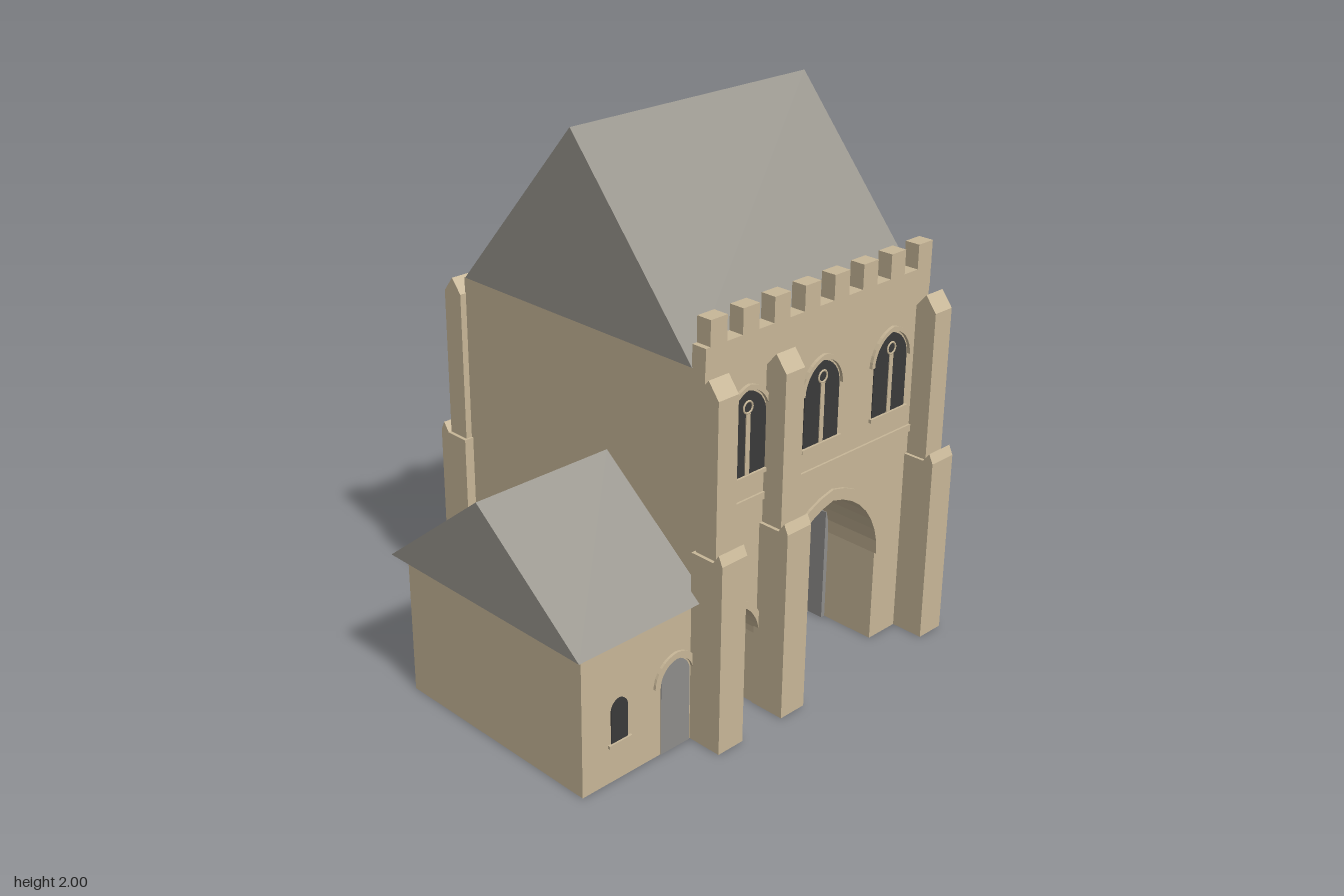
import * as THREE from 'three';

const flat = (name, color) => {
  const m = new THREE.MeshStandardMaterial({ color });
  m.name = name;
  return m;
};

export function createModel() {
  const stone = flat('stone', 0xc8b798);
  const slate = flat('slate', 0x98958d);
  const glass = flat('darkGlass', 0x3a3a3a);
  const wood = flat('greyDoor', 0x8e8d8b);

  const model = new THREE.Group();
  model.name = 'gatehouse';
  const FRONT = 0.6, BACK = -0.595;

  const add = (name, geometry, material, parent = model) => {
    const mesh = new THREE.Mesh(geometry, material);
    mesh.name = name;
    parent.add(mesh);
    return mesh;
  };
  const toShape = (pts) => new THREE.Shape(pts.map(([x, y]) => new THREE.Vector2(x, y)));

  // Outline in x,y pushed from z0 to z1
  const slab = (pts, z0, z1) =>
    new THREE.ExtrudeGeometry(toShape(pts), { depth: z1 - z0, bevelEnabled: false }).translate(0, 0, z0);
  // Outline in z,y pushed from x0 to x1
  const prism = (pts, x0, x1) =>
    new THREE.ExtrudeGeometry(toShape(pts), { depth: x1 - x0, bevelEnabled: false })
      .rotateY(-Math.PI / 2).translate(x1, 0, 0);
  const block = (x0, x1, y0, y1, z0, z1) =>
    new THREE.BoxGeometry(x1 - x0, y1 - y0, z1 - z0)
      .translate((x0 + x1) / 2, (y0 + y1) / 2, (z0 + z1) / 2);

  // Two-centred arch from left springing to right springing
  const arch = (cx, spring, w, h, n = 8) => {
    const r = (w * w + h * h) / (2 * w);
    const end = Math.acos((r - w) / r);
    const half = [];
    for (let i = 0; i <= n; i++) {
      const a = (end * i) / n;
      half.push([w - r + r * Math.cos(a), spring + r * Math.sin(a)]);
    }
    const left = half.map(([x, y]) => [cx - x, y]);
    const right = half.slice(0, -1).reverse().map(([x, y]) => [cx + x, y]);
    return [...left, ...right];
  };
  const opening = (cx, base, spring, w, h) =>
    [[cx - w, base], ...arch(cx, spring, w, h), [cx + w, base]];
  const hoodOutline = (cx, spring, w, h, t) =>
    [...arch(cx, spring, w + t, h + t), ...arch(cx, spring, w, h).reverse()];

  // Main block with both passages running through
  add('mainWalls', slab([
    [-0.3, 0], ...opening(-0.13, 0, 0.28, 0.105, 0.155),
    ...opening(0.34, 0, 0.36, 0.26, 0.31),
    [0.82, 0], [0.82, 1.34], [-0.3, 1.34],
  ], BACK, FRONT), stone);
  add('mainRoof', prism([[-0.588, 1.34], [0.545, 1.34], [-0.015, 2]], -0.302, 0.822), slate);

  // Open door leaves inside the large passage
  for (const [name, x] of [['rightDoorLeaf', 0.08], ['leftDoorLeaf', 0.582]])
    add(name, block(x, x + 0.018, 0, 0.45, 0.08, 0.38), wood);

  // Crenellated parapet along the front
  const parapet = new THREE.Group();
  parapet.name = 'parapet';
  model.add(parapet);
  add('parapetWall', block(-0.3, 0.82, 1.34, 1.42, 0.543, 0.602), stone, parapet);
  for (let i = 0; i < 8; i++) {
    const x = -0.28 + i * 0.1465;
    add('merlon', block(x, x + 0.075, 1.42, 1.51, 0.543, 0.602), stone, parapet);
  }

  // Details shared by the front and back faces
  for (const side of [1, -1]) {
    const face = new THREE.Group();
    face.name = side > 0 ? 'frontFace' : 'backFace';
    model.add(face);
    const wall = side > 0 ? FRONT : BACK;
    // Depth range measured outward from the wall
    const out = (d0, d1) => (side > 0 ? [wall + d0, wall + d1] : [wall - d1, wall - d0]);

    // Stepped buttresses with gabled caps
    for (const x of [-0.28, 0.03, 0.8]) {
      const outline = (pts) => pts.map(([d, y]) => [wall + side * d, y]);
      add('lowerButtress', prism(outline([
        [-0.012, 0], [0.127, 0], [0.127, 0.715], [0.11, 0.75], [0.085, 0.715], [-0.012, 0.715],
      ]), x - 0.058, x + 0.058), stone, face);
      add('upperButtress', prism(outline([
        [-0.004, 0.71], [0.085, 0.71], [0.085, 1.275], [0.04, 1.333], [-0.004, 1.28],
      ]), x - 0.045, x + 0.045), stone, face);
    }

    // String course in two thin steps
    add('stringCourse', block(-0.3, 0.82, 0.803, 0.83, ...out(-0.005, 0.008)), stone, face);

    // Mouldings over the passages
    add('largeArchMoulding', slab(hoodOutline(0.34, 0.36, 0.26, 0.31, 0.043), ...out(-0.005, 0.01)), stone, face);
    add('smallArchMoulding', slab(hoodOutline(-0.13, 0.28, 0.105, 0.155, 0.025), ...out(-0.005, 0.01)), stone, face);

    // Upper windows with mullion, ring, hood and sill
    for (const x of [-0.102, 0.263, 0.624]) {
      const win = new THREE.Group();
      win.name = 'upperWindow';
      face.add(win);
      add('pane', slab(opening(x, 0.92, 1.115, 0.088, 0.105), ...out(-0.003, 0.003)), glass, win);
      add('hood', slab(hoodOutline(x, 1.115, 0.095, 0.113, 0.016), ...out(-0.005, 0.012)), stone, win);
      add('sill', block(x - 0.1, x + 0.1, 0.906, 0.92, ...out(-0.005, 0.012)), stone, win);
      add('mullion', block(x - 0.01, x + 0.01, 0.92, 1.14, ...out(-0.003, 0.006)), stone, win);
      const ring = add('traceryRing', new THREE.TorusGeometry(0.021, 0.004, 6, 16), stone, win);
      ring.position.set(x, 1.162, wall + side * 0.003);
    }
  }

  // Side annex
  const annex = new THREE.Group();
  annex.name = 'annex';
  model.add(annex);
  const AZ = 0.59;
  add('annexWalls', block(-0.825, -0.3, 0, 0.54, -0.295, AZ), stone, annex);
  add('annexRoof', prism([[-0.335, 0.54], [0.628, 0.54], [0.146, 0.92]], -0.865, -0.3), slate, annex);
  add('annexDoor', slab(opening(-0.41, 0, 0.275, 0.066, 0.07), AZ - 0.003, AZ + 0.003), wood, annex);
  add('annexDoorHood', slab(hoodOutline(-0.41, 0.27, 0.075, 0.08, 0.024), AZ - 0.005, AZ + 0.01), stone, annex);
  add('annexWindow', slab(opening(-0.663, 0.15, 0.27, 0.037, 0.042), AZ - 0.003, AZ + 0.003), glass, annex);
  add('annexSill', block(-0.713, -0.613, 0.138, 0.15, AZ - 0.005, AZ + 0.01), stone, annex);

  return model;
}
